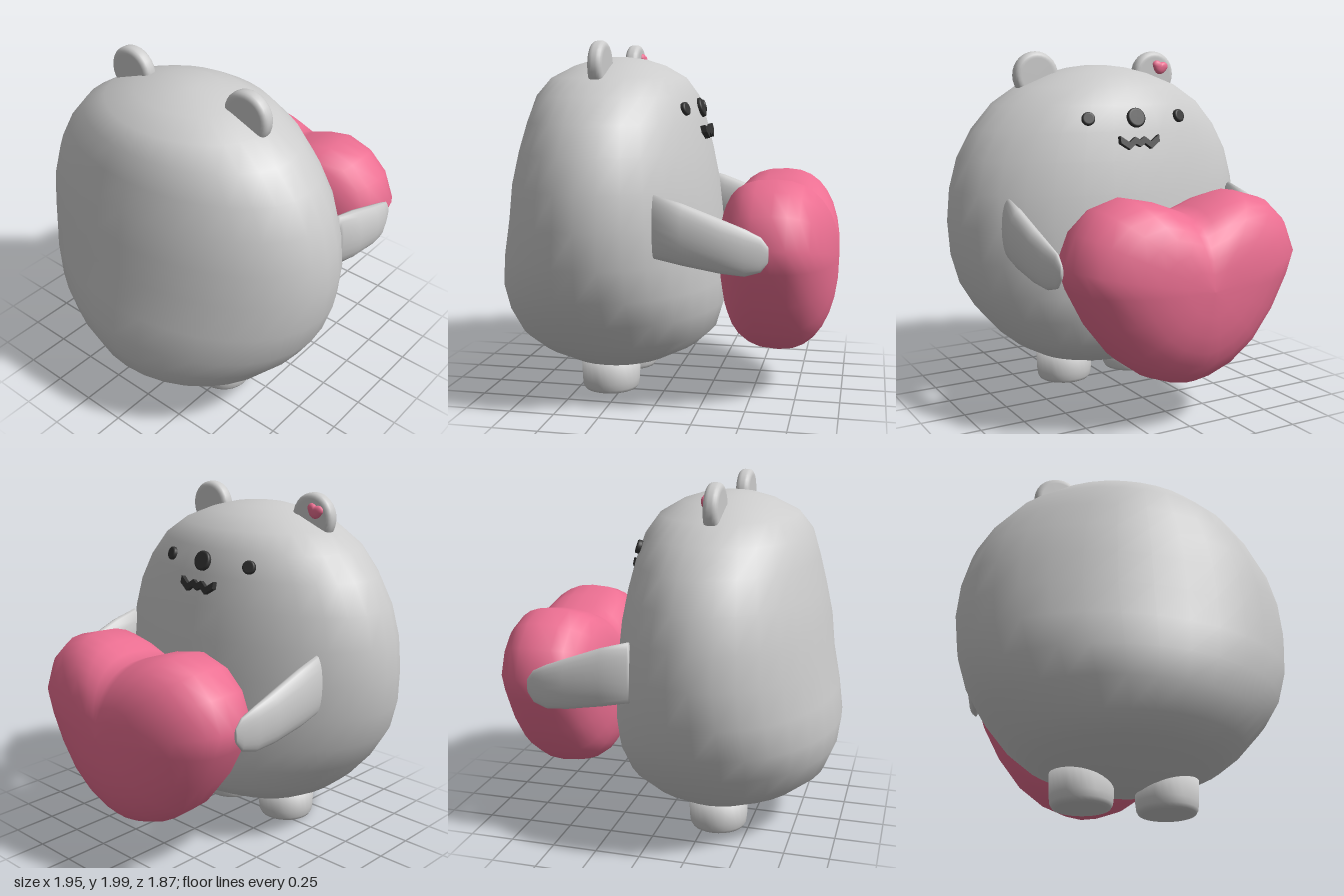
import * as THREE from 'three';

const material = (color) => new THREE.MeshStandardMaterial({ color });
const grey = material(0xcccccc), pink = material(0xec6f92), dark = material(0x333333);

function add(parent, name, geometry, mat) {
  const mesh = new THREE.Mesh(geometry, mat);
  mesh.name = name;
  parent.add(mesh);
  return mesh;
}

// Skin a list of closed rings of [x, y, z] points, filling both ends.
function loft(rings) {
  const n = rings[0].length;
  const centre = (ring) => [0, 1, 2].map((k) => ring.reduce((sum, p) => sum + p[k], 0) / n);
  const last = rings.length - 1;
  const points = [...rings.flat(), centre(rings[0]), centre(rings[last])];
  const index = [];
  for (let j = 0; j < n; j++) {
    const k = (j + 1) % n;
    for (let i = 0; i < last; i++) {
      const a = i * n + j, b = i * n + k, c = a + n, d = b + n;
      index.push(a, c, b, b, c, d);
    }
    index.push(points.length - 2, j, k, points.length - 1, last * n + k, last * n + j);
  }
  const geometry = new THREE.BufferGeometry();
  geometry.setAttribute('position', new THREE.Float32BufferAttribute(points.flat(), 3));
  geometry.setIndex(index);
  geometry.computeVertexNormals();
  return geometry;
}

// Round disc with softened rims, standing on y = 0.
function puck(radius, height, bevel, segments = 28) {
  const profile = [[0, 0], [radius - bevel * 1.3, 0]];
  for (const [from, y] of [[-Math.PI / 2, bevel], [0, height - bevel]]) {
    for (let i = 0; i <= 4; i++) {
      const a = from + (i * Math.PI) / 8;
      profile.push([radius - bevel + bevel * Math.cos(a), y + bevel * Math.sin(a)]);
    }
  }
  profile.push([radius - bevel * 1.3, height], [0, height]);
  return new THREE.LatheGeometry(profile.map(([x, y]) => new THREE.Vector2(x, y)), segments);
}

// Egg-shaped body: y, back x, front x, half width in z.
function bodyGeometry() {
  const sections = [
    [0.115, -0.42, -0.22, 0.1], [0.14, -0.5, -0.12, 0.23], [0.19, -0.63, 0.02, 0.4],
    [0.26, -0.79, 0.16, 0.53], [0.35, -0.9, 0.26, 0.64], [0.5, -0.96, 0.305, 0.77],
    [0.65, -0.98, 0.312, 0.86], [0.83, -0.955, 0.3, 0.915], [1.03, -0.915, 0.28, 0.935],
    [1.22, -0.895, 0.258, 0.918], [1.4, -0.855, 0.222, 0.87], [1.56, -0.815, 0.183, 0.78],
    [1.7, -0.775, 0.14, 0.655], [1.8, -0.7, 0.07, 0.5], [1.87, -0.57, -0.05, 0.32],
    [1.905, -0.46, -0.16, 0.18], [1.918, -0.38, -0.26, 0.07],
  ];
  return loft(sections.map(([y, back, front, hz]) => Array.from({ length: 32 }, (_, j) => {
    const a = (j / 32) * Math.PI * 2;
    return [(back + front) / 2 + ((front - back) / 2) * Math.cos(a), y, hz * Math.sin(a)];
  })));
}

// Puffy heart centred on the origin: the outline shrinks toward both faces.
function heartGeometry() {
  const half = [[0.1, -0.545], [0.25, -0.49], [0.4, -0.38], [0.54, -0.2], [0.645, 0],
    [0.69, 0.13], [0.62, 0.3], [0.5, 0.41], [0.33, 0.46], [0.18, 0.43], [0.07, 0.39]];
  const outline = [[0, -0.56], ...half, [0, 0.365], ...half.map(([z, y]) => [-z, y]).reverse()];
  const rings = [];
  for (let i = 0; i <= 16; i++) {
    const a = (-0.5 + i / 16) * Math.PI;
    const power = a < 0 ? 2 / 2.8 : 2 / 2.3;
    const x = 0.33 * Math.sign(a) * Math.abs(Math.sin(a)) ** power;
    const s = Math.max(Math.cos(a), 0.0001) ** power;
    rings.push(outline.map(([z, y]) => [x, y * s, z * s]));
  }
  return loft(rings);
}

// Flat mitten arm: x, centre y, half height, centre z, half thickness.
function armGeometry(side) {
  const sections = [
    [0.05, 1.045, 0.165, 0.73, 0.045], [0.2, 1.01, 0.16, 0.735, 0.062],
    [0.4, 0.955, 0.14, 0.73, 0.056], [0.52, 0.925, 0.122, 0.72, 0.04],
    [0.6, 0.915, 0.09, 0.705, 0.022], [0.637, 0.915, 0.04, 0.7, 0.01],
  ];
  return loft(sections.map(([x, cy, hy, cz, hz]) => Array.from({ length: 20 }, (_, j) => {
    const a = (j / 20) * Math.PI * 2;
    return [x, cy + hy * Math.sin(a), side * cz + hz * Math.cos(a)];
  })));
}

// Wavy mouth ribbon, drawn across z and extruded toward +x.
function mouthGeometry() {
  const wave = [[-0.125, 0.018], [-0.07, -0.02], [-0.03, 0.01], [0, -0.008],
    [0.03, 0.01], [0.07, -0.02], [0.125, 0.018]];
  const t = 0.02;
  const shape = new THREE.Shape([
    ...wave.map(([x, y]) => new THREE.Vector2(x, y - t)),
    ...wave.map(([x, y]) => new THREE.Vector2(x, y + t)).reverse(),
  ]);
  return new THREE.ExtrudeGeometry(shape, { depth: 0.035, bevelEnabled: false }).rotateY(Math.PI / 2);
}

export function createModel() {
  const model = new THREE.Group();
  model.name = 'plushBear';
  add(model, 'body', bodyGeometry(), grey);

  // Paired limbs and ears
  for (const side of [1, -1]) {
    const label = side > 0 ? 'left' : 'right';
    add(model, label + 'Arm', armGeometry(side), grey);

    const foot = new THREE.LatheGeometry([[0, 0.01], [0.13, 0.01], [0.152, 0.016], [0.163, 0.035],
      [0.167, 0.07], [0.172, 0.2], [0, 0.2]].map(([x, y]) => new THREE.Vector2(x, y)), 28);
    add(model, label + 'Foot', foot, grey).position.set(-0.32, 0, side * 0.23);

    const ear = add(model, label + 'Ear', puck(0.138, 0.08, 0.03).rotateZ(-Math.PI / 2), grey);
    ear.position.set(-0.36, 1.862, side * 0.395);
  }

  // Hearts: the big one held in front and the small one on an ear
  const heart = heartGeometry();
  add(model, 'heart', heart, pink).position.set(0.64, 0.8, 0);
  const earHeart = add(model, 'earHeart', heart, pink);
  earHeart.position.set(-0.283, 1.905, -0.43);
  earHeart.rotation.x = -0.2;
  earHeart.scale.setScalar(0.08);

  // Face: discs lie against the slope of the body
  const up = new THREE.Vector3(0, 1, 0);
  const faceParts = [
    ['nose', 0.056, 0.15, 0, 0], ['leftEye', 0.038, 0.113, 0.278, 0.28],
    ['rightEye', 0.038, 0.108, -0.305, -0.3],
  ];
  for (const [name, radius, x, z, turn] of faceParts) {
    const disc = add(model, name, puck(radius, 0.032, 0.01, 24), dark);
    disc.position.set(x, 1.627, z);
    disc.quaternion.setFromUnitVectors(up, new THREE.Vector3(1, 0.33, turn).normalize());
  }
  const mouth = add(model, 'mouth', mouthGeometry(), dark);
  mouth.position.set(0.187, 1.493, 0);
  mouth.rotation.z = 0.25;

  return model;
}
